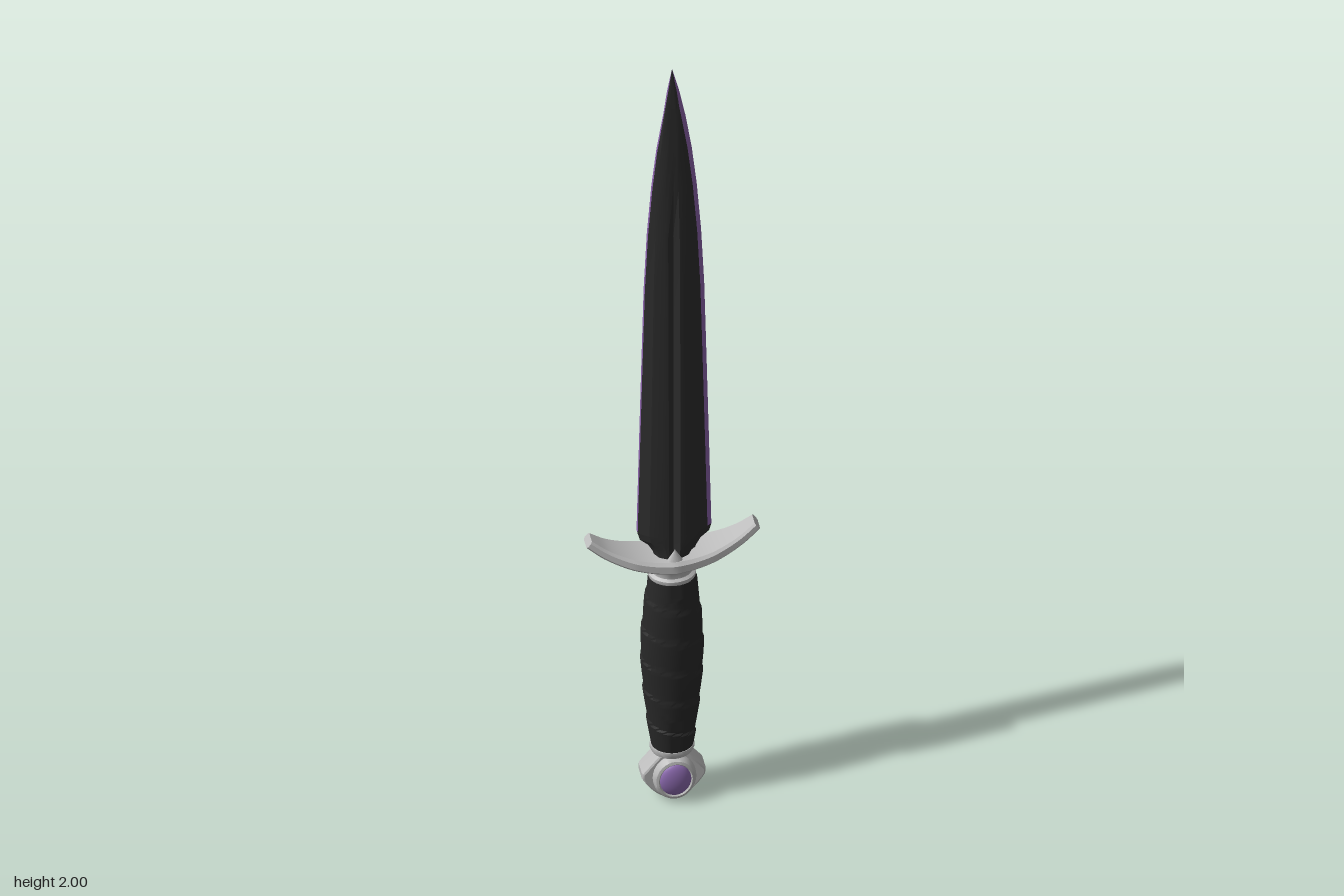
import * as THREE from 'three';
import { toCreasedNormals } from 'three/addons/utils/BufferGeometryUtils.js';

const material = (name, color, side = THREE.FrontSide) => {
  const m = new THREE.MeshStandardMaterial({ color, side });
  m.name = name;
  return m;
};

// Skin a stack of closed rings; useColumn picks which strips to keep
function loft(rings, crease = 0.6, useColumn = () => true) {
  const pos = [];
  for (let j = 0; j < rings.length - 1; j++) {
    const n = rings[j].length;
    for (let i = 0; i < n; i++) {
      if (!useColumn(i)) continue;
      const k = (i + 1) % n;
      const [a, b, c, d] = [rings[j][i], rings[j][k], rings[j + 1][i], rings[j + 1][k]];
      pos.push(...a, ...c, ...b, ...b, ...c, ...d);
    }
  }
  const g = new THREE.BufferGeometry();
  g.setAttribute('position', new THREE.Float32BufferAttribute(pos, 3));
  return toCreasedNormals(g, crease);
}

// Diamond blade section with a central groove, front half then the same turned round
function bladeRing([y, w, t, groove]) {
  const e = Math.min(0.01, 0.5 * w), ez = Math.min(0.007, 0.35 * t);
  const g = Math.min(0.013, 0.2 * w);
  const right = [[w, 0], [w - e, ez], [0.62 * w, 0.72 * t], [0.32 * w, 0.97 * t], [g, t]];
  const left = right.slice(1).reverse().map(([x, z]) => [-x, z]);
  const half = [...right, [0, t * groove], ...left];
  return [...half, ...half.map(([x, z]) => [-x, -z])].map(([x, z]) => [x, y, z]);
}

export function createModel() {
  const model = new THREE.Group();
  const black = material('blade black', 0x2d2d2d);
  const leather = material('grip black', 0x292929);
  const silver = material('silver', 0xbcbcbc);
  const purple = material('purple edge', 0x8b62ab);
  const gemPurple = material('gem purple', 0x8d6bb0);

  const add = (name, geometry, mat, parent = model) => {
    const mesh = new THREE.Mesh(geometry, mat);
    mesh.name = name;
    parent.add(mesh);
    return mesh;
  };

  // Blade: height, half width, half thickness, groove depth factor
  const stations = [
    [0.73, 0.088, 0.033, 0.6], [0.95, 0.083, 0.032, 0.6], [1.2, 0.077, 0.03, 0.6],
    [1.4, 0.072, 0.027, 0.6], [1.55, 0.065, 0.023, 0.65], [1.68, 0.055, 0.019, 0.9],
    [1.78, 0.044, 0.015, 1], [1.87, 0.03, 0.011, 1], [1.94, 0.016, 0.007, 1], [2, 0.0005, 0.0005, 1],
  ].map(bladeRing);
  const isEdge = (i) => [0, 9, 10, 19].includes(i);
  // the turned half repeats its end points, so skip them
  const rings = stations.map((r) => r.filter((_, i) => i !== 10 && i !== 21));
  const blade = new THREE.Group();
  blade.name = 'blade';
  model.add(blade);
  add('bladeFaces', loft(rings, 0.3, (i) => !isEdge(i)), black, blade);
  add('bladeEdges', loft(rings, 0.3, isEdge), purple, blade);

  // Notched blade base running down into the guard
  const base = [
    [0.64, 0.05, 0.032, 0.6], [0.675, 0.053, 0.033, 0.6], [0.695, 0.064, 0.033, 0.6],
    [0.712, 0.083, 0.033, 0.6], [0.73, 0.088, 0.033, 0.6],
  ].map(bladeRing).map((r) => r.filter((_, i) => i !== 10 && i !== 21));
  add('bladeBase', loft(base, 0.3), black, blade);

  // Crescent guard: chamfered sections swept along an upturned curve
  const arm = [[0.05, 0.655], [0.1, 0.668], [0.15, 0.692], [0.188, 0.721]];
  const path = new THREE.CatmullRomCurve3([
    ...arm.map(([x, y]) => [-x, y]).reverse(), [0, 0.652], ...arm,
  ].map(([x, y]) => new THREE.Vector3(x, y, 0)));
  const guardRing = (u, s) => {
    const p = path.getPoint(u), t = path.getTangent(u);
    const a = Math.min(1, Math.abs(p.x) / 0.188);
    const h = (0.017 - 0.007 * a) * s;
    const d = (0.054 - 0.013 * Math.min(1, a * 1.9) - 0.021 * Math.max(0, (a - 0.5) * 2)) * s;
    const c = 0.45 * h;
    return [[d, -h + c], [d, h - c], [d - c, h], [-d + c, h], [-d, h - c], [-d, -h + c], [-d + c, -h], [d - c, -h]]
      .map(([z, v]) => [p.x - t.y * v, p.y + t.x * v, z]);
  };
  const guardRings = [guardRing(0, 0)];
  for (let i = 0; i <= 32; i++) guardRings.push(guardRing(i / 32, 1));
  guardRings.push(guardRing(1, 0));
  add('guard', loft(guardRings, 0.6), silver);

  // Small pointed tongues over the blade groove, front and back
  for (const s of [1, -1]) {
    const tongue = add('guardTongue', new THREE.ConeGeometry(0.024, 0.04, 16), silver);
    tongue.position.set(0, 0.677, s * 0.036);
    tongue.scale.z = 0.6;
  }

  // Oval collars at both ends of the grip
  const collar = (name, profile, depth) => {
    const g = new THREE.LatheGeometry(profile.map(([r, y]) => new THREE.Vector2(r, y)), 32);
    add(name, toCreasedNormals(g, 0.6), silver).scale.z = depth;
  };
  collar('upperCollar', [[0, 0.598], [0.05, 0.598], [0.053, 0.604], [0.053, 0.612], [0.046, 0.617],
    [0.047, 0.63], [0.055, 0.645], [0, 0.65]], 0.86);
  collar('lowerCollar', [[0, 0.105], [0.036, 0.108], [0.039, 0.117], [0.046, 0.121], [0.05, 0.13],
    [0.049, 0.138], [0, 0.14]], 0.92);

  // Swelling grip with a spiral wrap
  const swell = new THREE.CatmullRomCurve3([
    [0.046, 0.13], [0.054, 0.2], [0.064, 0.3], [0.069, 0.4], [0.064, 0.5], [0.052, 0.605],
  ].map(([r, y]) => new THREE.Vector3(r, y, 0)));
  const gripRings = [];
  for (let j = 0; j <= 84; j++) {
    const p = swell.getPoint(j / 84), ring = [];
    for (let i = 0; i < 36; i++) {
      const a = (i / 36) * Math.PI * 2;
      const turn = p.y / 0.085 - a / (Math.PI * 2) + 2;
      const r = p.x + 0.0035 * (turn - Math.floor(turn)) - 0.001;
      const depth = 0.93 - 0.14 * Math.min(1, (p.x - 0.046) / 0.023);
      ring.push([Math.cos(a) * r, p.y, Math.sin(a) * r * depth]);
    }
    gripRings.push(ring);
  }
  add('grip', loft(gripRings, 0.5), leather);

  // Pommel: angular silver body with a set gem on each side
  const pommel = new THREE.Group();
  pommel.name = 'pommel';
  model.add(pommel);
  const outline = new THREE.Shape();
  outline.moveTo(-0.03, 0.116);
  outline.lineTo(-0.066, 0.072);
  outline.lineTo(-0.066, 0.06);
  outline.quadraticCurveTo(-0.035, 0.006, 0, 0.006);
  outline.quadraticCurveTo(0.035, 0.006, 0.066, 0.06);
  outline.lineTo(0.066, 0.072);
  outline.lineTo(0.03, 0.116);
  const body = new THREE.ExtrudeGeometry(outline, {
    depth: 0.036, bevelEnabled: true, bevelSize: 0.005, bevelThickness: 0.009, bevelSegments: 2, curveSegments: 10,
  });
  body.translate(0, 0, -0.018);
  add('pommelBody', toCreasedNormals(body, 0.5), silver, pommel);
  const bezel = [[0.053, 0.02], [0.052, 0.036], [0.047, 0.045], [0.041, 0.047], [0.037, 0.043], [0, 0.043]]
    .map(([r, y]) => new THREE.Vector2(r, y));
  for (const s of [1, -1]) {
    const setting = new THREE.Group();
    setting.name = s > 0 ? 'frontGemSetting' : 'backGemSetting';
    setting.position.y = 0.064;
    setting.rotation.x = s * Math.PI / 2;
    setting.scale.set(0.92, 1, 1.08);
    pommel.add(setting);
    add('bezel', toCreasedNormals(new THREE.LatheGeometry(bezel, 32), 0.6), silver, setting);
    const gem = add('gem', new THREE.SphereGeometry(0.039, 28, 10, 0, Math.PI * 2, 0, Math.PI / 2), gemPurple, setting);
    gem.position.y = 0.041;
    gem.scale.y = 0.4;
  }
  return model;
}
